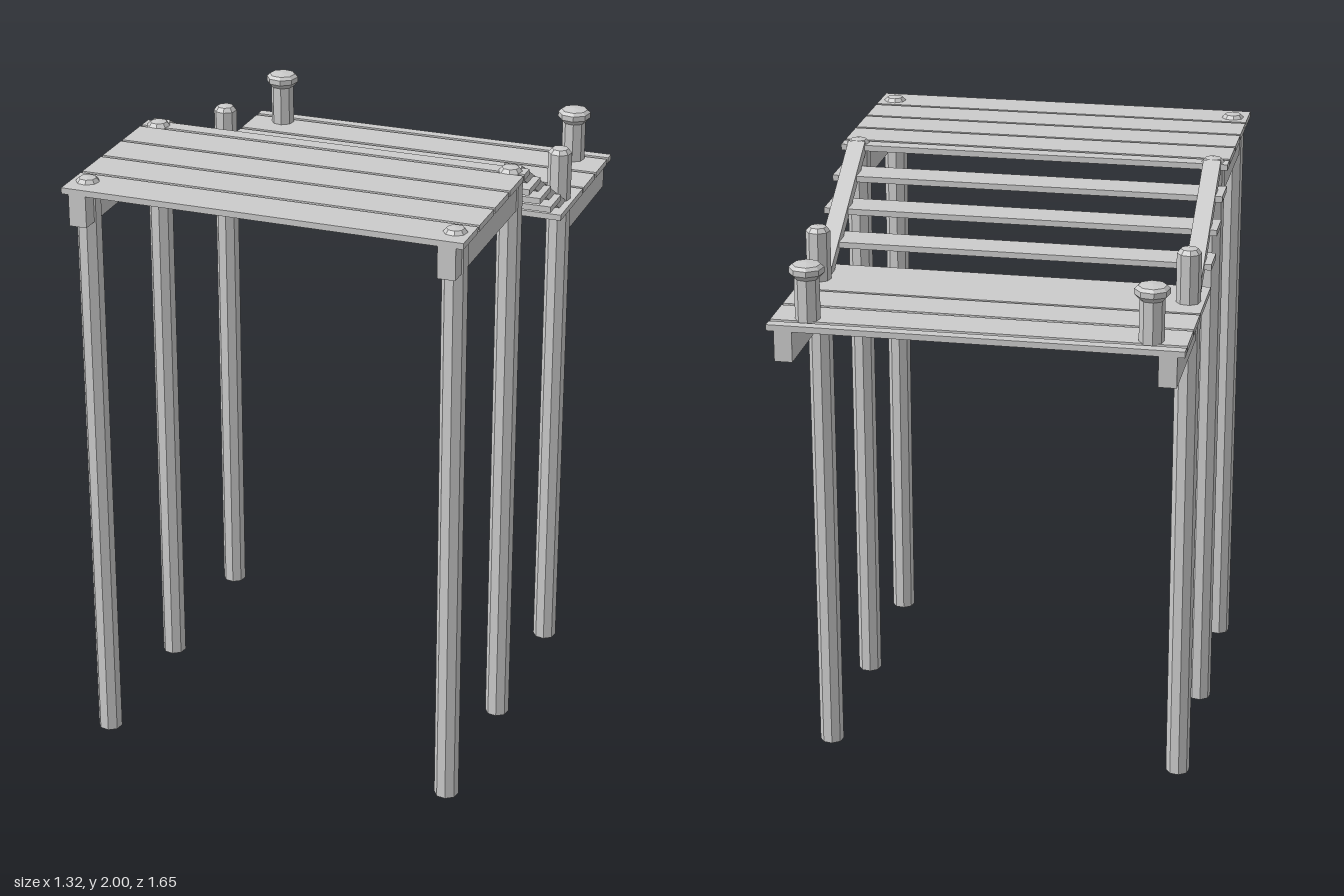
import * as THREE from 'three';

export function createModel() {
  const model = new THREE.Group();
  model.name = 'steppedPlatform';

  const wood = new THREE.MeshStandardMaterial({ color: 0xcccccc });
  wood.name = 'pale grey wood';

  const add = (geometry, name, x = 0, y = 0, z = 0) => {
    const mesh = new THREE.Mesh(geometry, wood);
    mesh.name = name;
    mesh.position.set(x, y, z);
    model.add(mesh);
    return mesh;
  };

  // Box given by its ranges in y and z, centred on x
  const slab = (name, x, width, y0, y1, z0, z1) =>
    add(new THREE.BoxGeometry(width, y1 - y0, z1 - z0), name, x, (y0 + y1) / 2, (z0 + z1) / 2);

  // Eight-sided turned part with faceted sides
  const turned = (points) => {
    const lathe = new THREE.LatheGeometry(points.map(([r, y]) => new THREE.Vector2(r, y)), 8, 0.21);
    const flat = lathe.toNonIndexed();
    flat.computeVertexNormals();
    return flat;
  };

  const WIDTH = 1.315;
  const POST_X = 0.605;

  // Upper deck planks, front to back
  [[0.685, 0.826], [0.533, 0.672], [0.381, 0.52], [0.23, 0.368], [0.164, 0.216]]
    .forEach(([z0, z1]) => slab('upperPlank', 0, WIDTH, 1.964, 1.984, z0, z1));

  // Lower deck planks, front to back
  [[-0.474, -0.214], [-0.622, -0.486], [-0.774, -0.637], [-0.826, -0.79]]
    .forEach(([z0, z1]) => slab('lowerPlank', 0, WIDTH, 1.666, 1.686, z0, z1));

  // Three open treads between the decks
  for (let i = 0; i < 3; i++) {
    const z = 0.1 - i * 0.125;
    const y = 1.902 - i * 0.0755;
    slab('tread', 0, WIDTH, y - 0.01, y + 0.01, z - 0.06, z + 0.06);
  }

  const post = (height) => turned([
    [0, 0], [0.04, 0], [0.04, height - 0.018], [0.028, height - 0.004], [0, height],
  ]);
  const bollard = turned([
    [0.04, 0], [0.04, 0.145], [0.056, 0.162], [0.056, 0.18], [0.045, 0.19], [0, 0.195],
  ]);

  // Sloping rail from the middle post down to the rear post
  const railTop = new THREE.Vector2(0.18, 1.979);
  const railEnd = new THREE.Vector2(-0.35, 1.664);
  const run = railTop.x - railEnd.x;
  const drop = railTop.y - railEnd.y;

  for (const side of [-1, 1]) {
    const x = side * POST_X;

    // Posts
    add(post(2), 'frontPost', x, 0, 0.743);
    add(post(2), 'middlePost', x, 0, 0.197);
    add(post(1.867), 'rearPost', x, 0, -0.365);

    // Bearers under both decks
    slab('upperBearer', x, 0.058, 1.86, 1.964, 0.19, 0.826);
    slab('lowerBearer', x, 0.058, 1.565, 1.666, -0.824, -0.36);

    // Stair rail
    const rail = add(new THREE.BoxGeometry(0.058, 0.038, Math.hypot(run, drop)), 'stairRail',
      x, (railTop.y + railEnd.y) / 2, (railTop.x + railEnd.x) / 2);
    rail.rotation.x = -Math.atan2(drop, run);

    // Mooring bollard on the lower deck
    add(bollard, 'bollard', side * 0.543, 1.676, -0.745);
  }

  return model;
}
